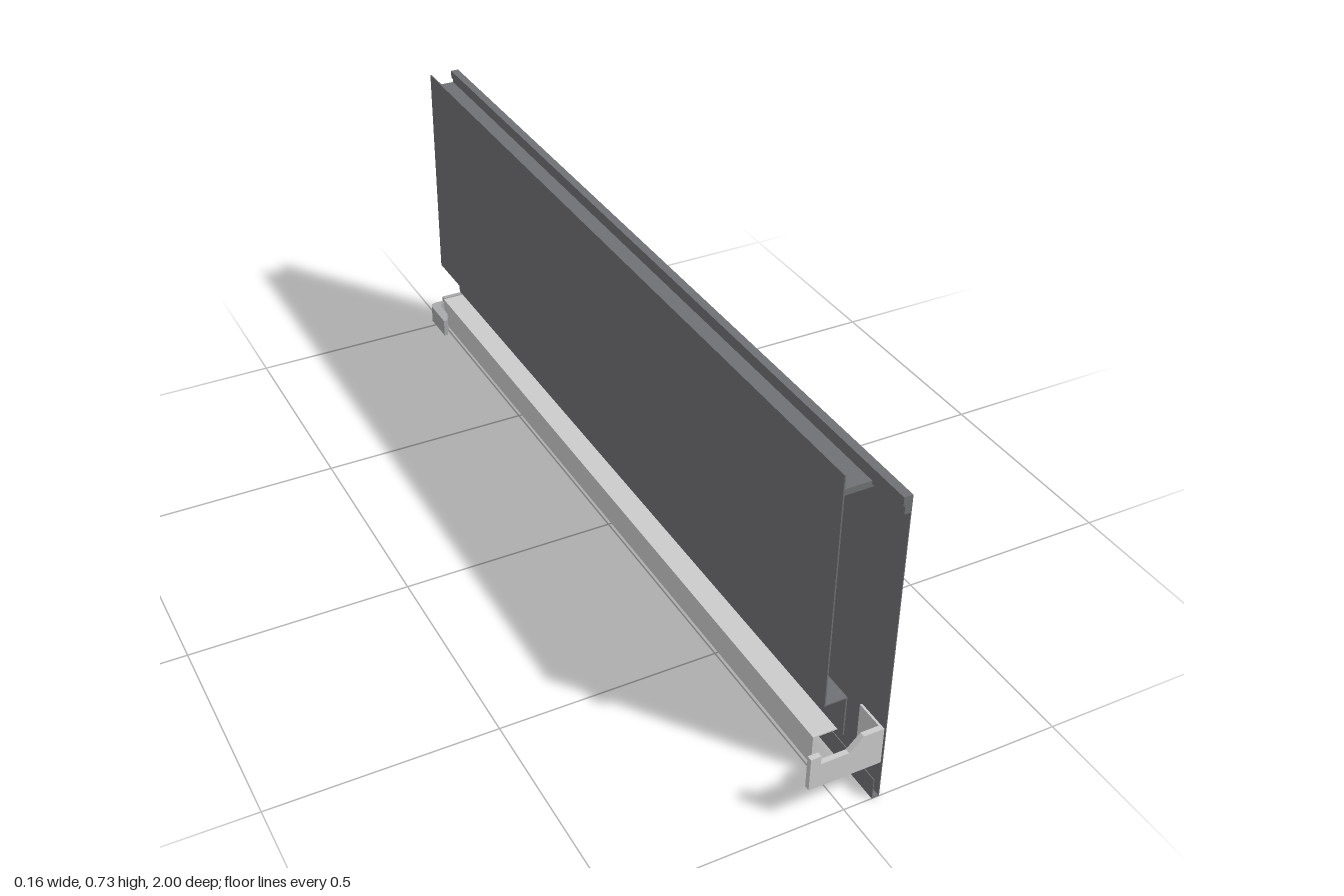
import * as THREE from 'three';

const mat = (color) => new THREE.MeshStandardMaterial({ color });

export function createModel() {
  const group = new THREE.Group();
  const dark = mat(0x707174), light = mat(0xcccccc), mid = mat(0xa8a9aa);

  // Extrudes a closed outline drawn in x,y from z0 to z1
  function profile(name, points, z0, z1, material) {
    const shape = new THREE.Shape(points.map(([x, y]) => new THREE.Vector2(x, y)));
    const geometry = new THREE.ExtrudeGeometry(shape, { depth: z1 - z0, bevelEnabled: false });
    geometry.translate(0, 0, z0);
    const mesh = new THREE.Mesh(geometry, material);
    mesh.name = name;
    group.add(mesh);
    return mesh;
  }

  // Box given by its two opposite corners
  function box(name, [x0, y0, z0], [x1, y1, z1], material) {
    const mesh = new THREE.Mesh(new THREE.BoxGeometry(x1 - x0, y1 - y0, z1 - z0), material);
    mesh.position.set((x0 + x1) / 2, (y0 + y1) / 2, (z0 + z1) / 2);
    mesh.name = name;
    group.add(mesh);
  }

  // Outer sheet with a folded lip at the bottom and a hooked rim on top
  profile('outerPanel', [
    [0.064, 0], [0.081, 0], [0.081, 0.728], [0.062, 0.728], [0.062, 0.71], [0.066, 0.706],
    [0.066, 0.69], [0.079, 0.69], [0.079, 0.003], [0.066, 0.003], [0.066, 0.05], [0.064, 0.05],
  ], -1, 1, dark);

  // Inner sheet, stepped inwards near the bottom
  profile('innerPanel', [
    [0.006, 0.728], [0.006, 0.181], [0.055, 0.181], [0.055, 0.086], [0.058, 0.086],
    [0.058, 0.184], [0.009, 0.184], [0.009, 0.728],
  ], -1, 0.9, dark);
  box('topShelf', [0.009, 0.683, -1], [0.079, 0.697, 0.9], dark);

  // Angle strip along the lower edge
  profile('bottomAngle', [
    [0, 0.013], [0.003, 0.013], [0.003, 0.083], [0.058, 0.083], [0.058, 0.086], [0, 0.086],
  ], -0.98, 0.88, light);

  // Front bracket plate with its mounting tab
  profile('frontBracket', [
    [-0.083, 0.087], [0.08, 0.087], [0.08, 0.175], [0.033, 0.175],
    [0.003, 0.145], [-0.06, 0.145], [-0.06, 0.165], [-0.083, 0.165],
  ], 0.984, 0.996, light);
  box('frontBracketTab', [0.074, 0.087, 0.92], [0.079, 0.175, 0.984], light);

  // Rear hook, outlined from above as x,-z and raised along y
  const hook = profile('rearHook', [
    [-0.034, 0.9], [-0.025, 0.9], [-0.011, 0.93], [-0.011, 0.978], [-0.004, 0.987], [0.003, 0.989],
    [0.079, 0.989], [0.079, 1], [-0.018, 1], [-0.029, 0.996], [-0.034, 0.985],
  ], 0.025, 0.07, mid);
  hook.rotation.x = -Math.PI / 2;
  box('rearBracketPlate', [0.004, 0.07, -1], [0.079, 0.083, -0.989], mid);
  box('rearBracketTab', [0.074, 0.025, -0.989], [0.079, 0.083, -0.92], mid);

  return group;
}
